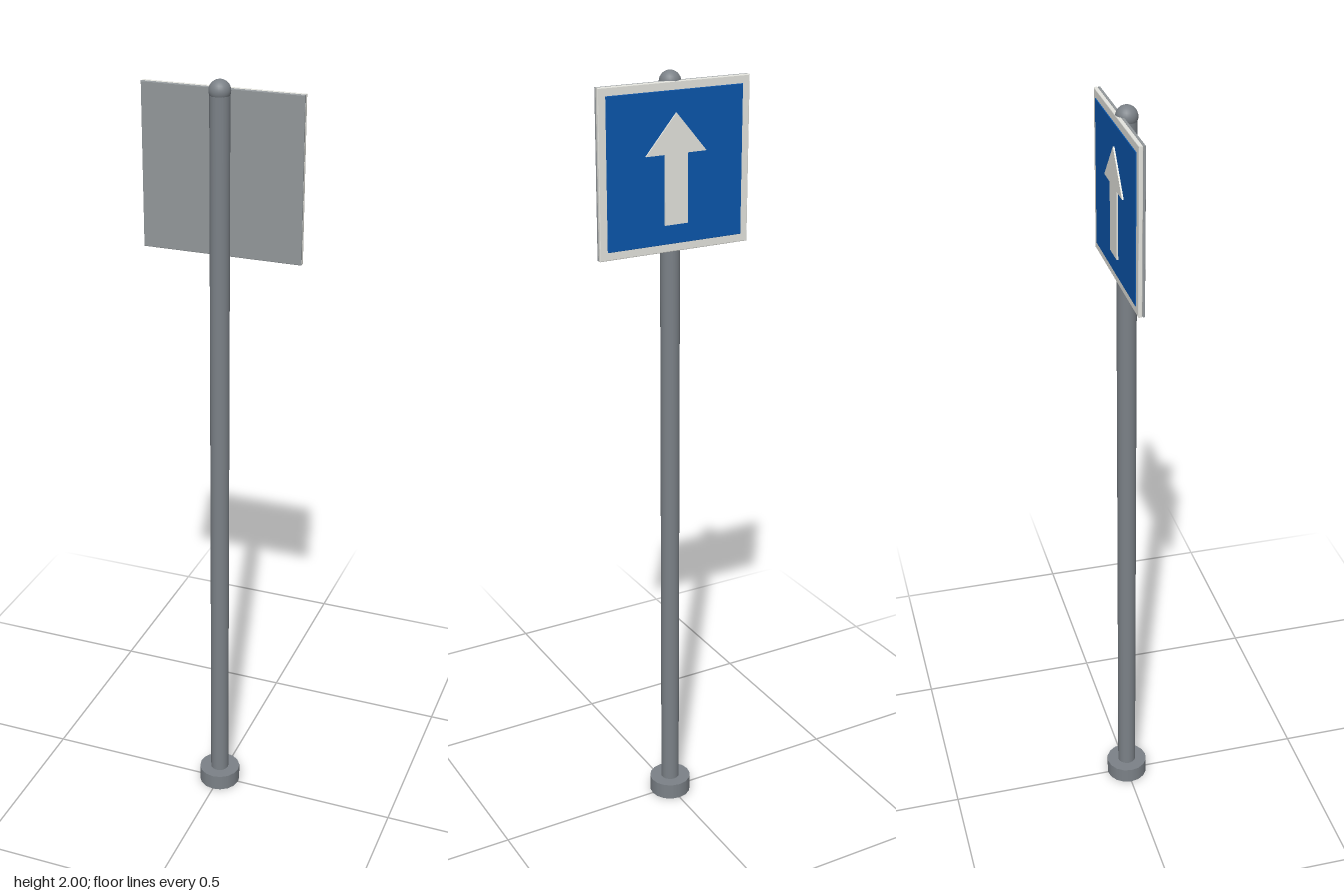
import * as THREE from 'three';

const SIGN_Y = 1.775;

export function createModel() {
  const mat = (name, color) => {
    const m = new THREE.MeshStandardMaterial({ color });
    m.name = name;
    return m;
  };
  const steel = mat('post grey', 0x7b8187);
  const backing = mat('panel grey', 0x92979a);
  const white = mat('white', 0xe4e4de);
  const blue = mat('blue', 0x0a56ab);

  const model = new THREE.Group();
  model.name = 'roadSign';
  const add = (name, geometry, material, x, y, z) => {
    const mesh = new THREE.Mesh(geometry, material);
    mesh.name = name;
    mesh.position.set(x, y, z);
    model.add(mesh);
    return mesh;
  };

  // Square plate between two z values, with slightly bevelled edges
  const plate = (name, half, zBack, zFront, bevel, material) => {
    const h = half - bevel;
    const square = new THREE.Shape([
      new THREE.Vector2(-h, -h), new THREE.Vector2(h, -h),
      new THREE.Vector2(h, h), new THREE.Vector2(-h, h),
    ]);
    const geometry = new THREE.ExtrudeGeometry(square, {
      depth: zFront - zBack - 2 * bevel,
      bevelEnabled: true, bevelSize: bevel, bevelThickness: bevel, bevelSegments: 2,
    });
    return add(name, geometry, material, 0, SIGN_Y, zBack + bevel);
  };

  // Foot, post and rounded cap
  add('base', new THREE.CylinderGeometry(0.056, 0.056, 0.044, 16), steel, 0, 0.022, 0);
  add('post', new THREE.CylinderGeometry(0.0245, 0.0245, 1.94, 20), steel, 0, 1.004, 0);
  add('cap', new THREE.SphereGeometry(0.0265, 24, 16), steel, 0, 1.9735, 0);

  // Layered sign panel, its painted side towards -z
  plate('signBacking', 0.203, -0.0165, -0.01, 0.002, backing);
  plate('signBorder', 0.203, -0.0265, -0.0165, 0.002, white);
  plate('signFace', 0.183, -0.0285, -0.0245, 0.001, blue);

  // Raised upward arrow
  const arrow = new THREE.Shape();
  arrow.moveTo(-0.031, -0.135);
  arrow.lineTo(0.031, -0.135);
  arrow.lineTo(0.031, 0.035);
  arrow.lineTo(0.082, 0.035);
  arrow.lineTo(0, 0.131);
  arrow.lineTo(-0.082, 0.035);
  arrow.lineTo(-0.031, 0.035);
  arrow.closePath();
  add('arrow', new THREE.ExtrudeGeometry(arrow, { depth: 0.005, bevelEnabled: false }),
    white, 0, SIGN_Y, -0.0325);

  return model;
}
